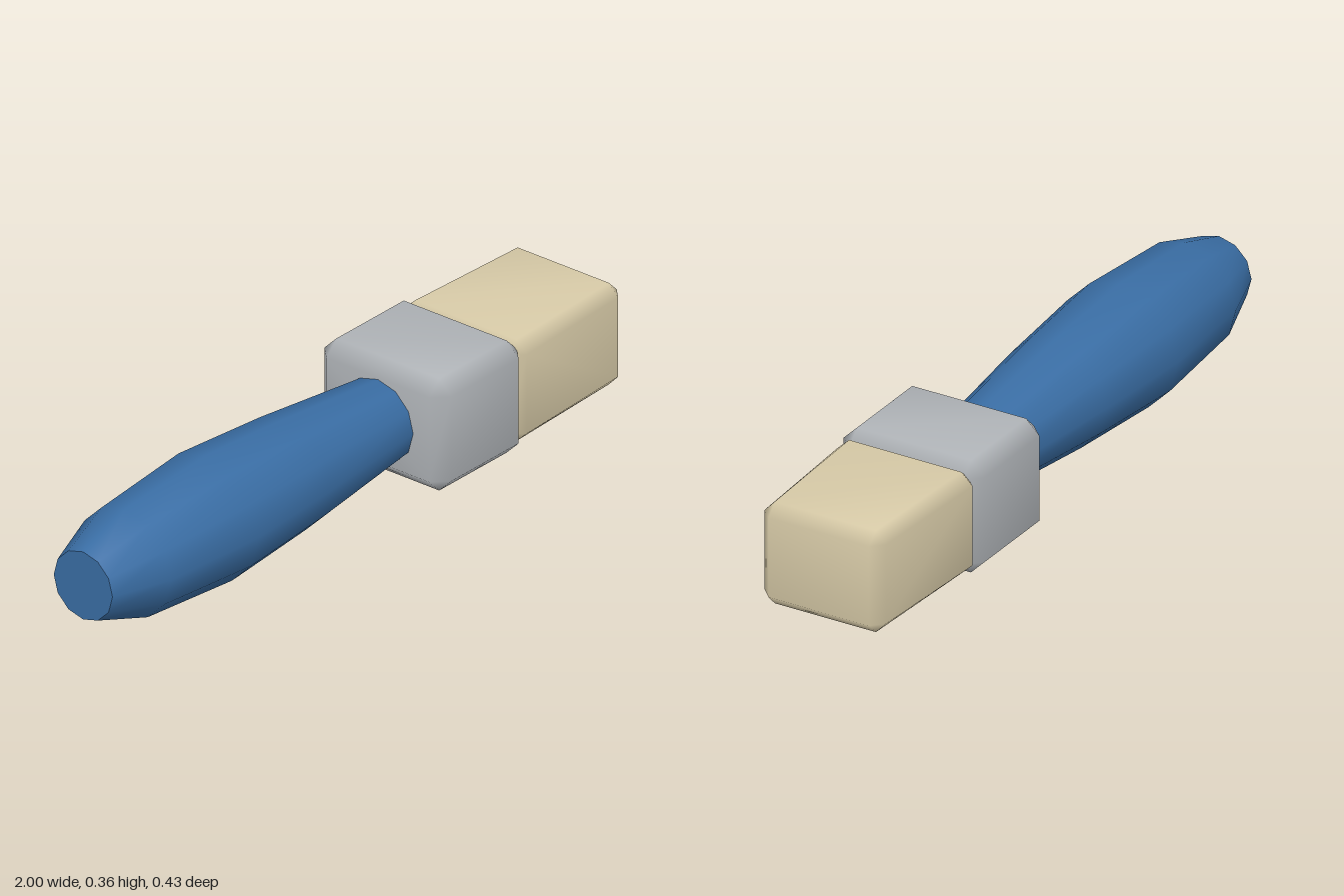
import * as THREE from 'three';
import { mergeVertices } from 'three/addons/utils/BufferGeometryUtils.js';
import { ConvexGeometry } from 'three/addons/geometries/ConvexGeometry.js';

const AXIS_Y = 0.185;

// Bevelled block with soft area-weighted normals; taper shrinks z towards +x
function bevelledBlock(x0, x1, halfY, halfZ, bevel, taper = 0) {
  const cx = (x0 + x1) / 2;
  const half = [(x1 - x0) / 2, halfY, halfZ];
  const points = [];
  for (const sx of [-1, 1]) for (const sy of [-1, 1]) for (const sz of [-1, 1]) {
    for (let full = 0; full < 3; full++) {
      const [x, y, z] = [sx, sy, sz].map((s, i) => s * (half[i] - (i === full ? 0 : bevel)));
      const scale = 1 - taper * (x / half[0]);
      points.push(new THREE.Vector3(x + cx, y, z * scale));
    }
  }
  let geometry = new ConvexGeometry(points);
  geometry.deleteAttribute('normal');
  geometry = mergeVertices(geometry, 1e-4);
  geometry.computeVertexNormals();
  return geometry;
}

export function createModel() {
  const group = new THREE.Group();
  const material = (name, color) => {
    const m = new THREE.MeshStandardMaterial({ color });
    m.name = name;
    return m;
  };
  const blue = material('handle blue', 0x3a6ea5);
  const grey = material('ferrule grey', 0xb0b4b8);
  const tan = material('bristle tan', 0xd8cba8);

  const add = (name, geometry, mat) => {
    const mesh = new THREE.Mesh(geometry, mat);
    mesh.name = name;
    mesh.position.y = AXIS_Y;
    group.add(mesh);
    return mesh;
  };

  // Twelve-sided turned handle, lying along x
  const profile = [[0.1, -1], [0.157, -0.83], [0.182, -0.5], [0.16, -0.18], [0.118, 0.23]]
    .map(([r, x]) => new THREE.Vector2(r, x));
  add('handle', new THREE.LatheGeometry(profile, 12), blue).rotation.z = -Math.PI / 2;

  // Flat butt of the handle
  const end = add('handleEnd', new THREE.CircleGeometry(0.1, 12), blue);
  end.rotation.y = -Math.PI / 2;
  end.position.x = -1;

  // Metal collar and tapering bristle block
  add('ferrule', bevelledBlock(0.207, 0.565, 0.166, 0.216, 0.041), grey);
  add('bristles', bevelledBlock(0.535, 1, 0.15, 0.197, 0.033, 0.06), tan);

  return group;
}
